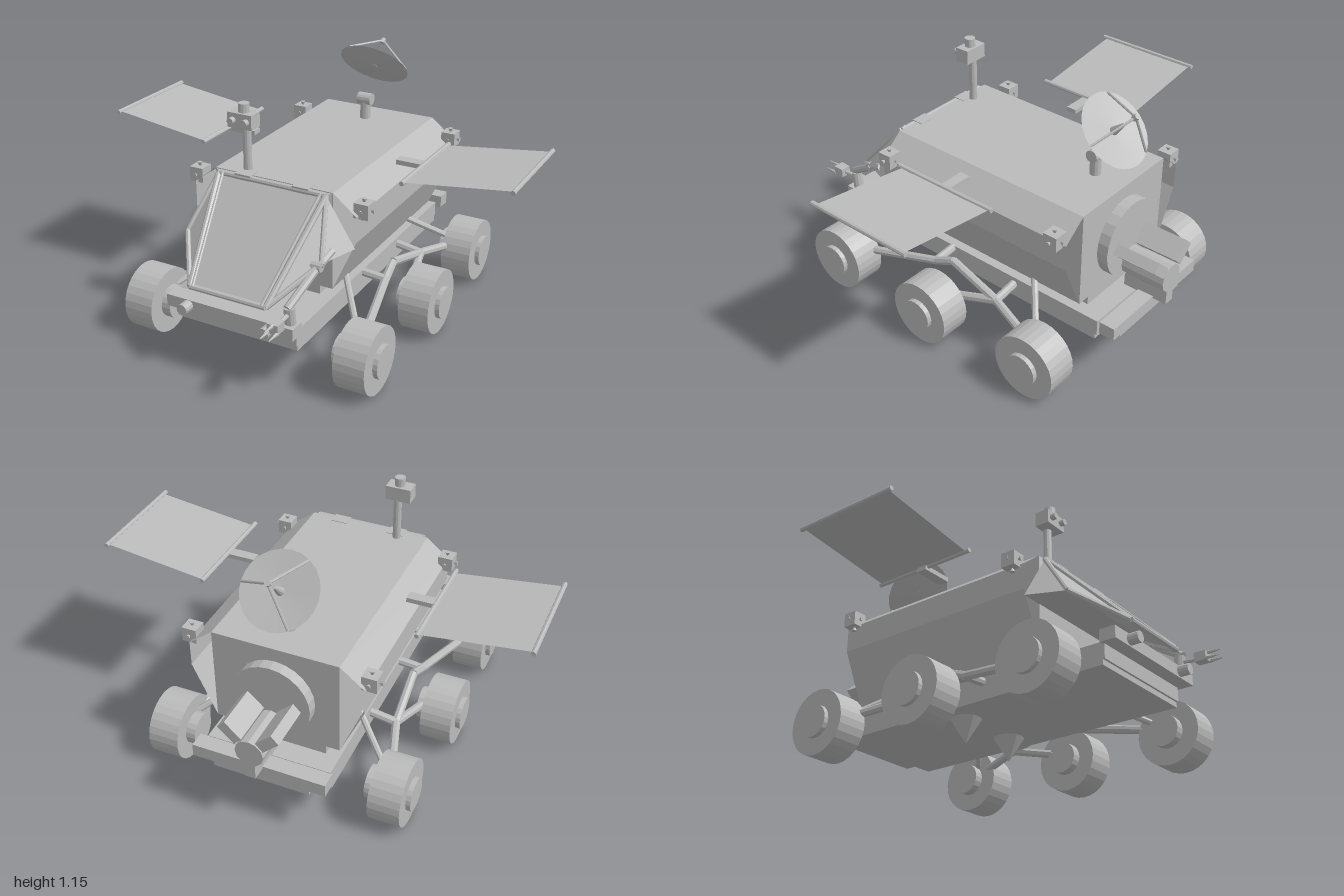
import * as THREE from 'three';

const grey = new THREE.MeshStandardMaterial({ color: 0xbbbbbb });
grey.name = 'hullGrey';
const sheetGrey = new THREE.MeshStandardMaterial({ color: 0xbbbbbb, side: THREE.DoubleSide });
sheetGrey.name = 'sheetGrey';
const V = (x, y, z) => new THREE.Vector3(x, y, z);

// Faceted normals for every part
function flat(geo) {
  const g = geo.index ? geo.toNonIndexed() : geo;
  g.computeVertexNormals();
  return g;
}

export function createModel() {
  const root = new THREE.Group();
  root.name = 'rover';

  const add = (name, geo, x = 0, y = 0, z = 0, mat = grey) => {
    const m = new THREE.Mesh(flat(geo), mat);
    m.name = name;
    m.position.set(x, y, z);
    root.add(m);
    return m;
  };
  // Box given by its limits on each axis
  const box = (name, x0, x1, y0, y1, z0, z1) =>
    add(name, new THREE.BoxGeometry(x1 - x0, y1 - y0, z1 - z0), (x0 + x1) / 2, (y0 + y1) / 2, (z0 + z1) / 2);
  // Round bar between two points; r1 is the radius at the far end
  const bar = (name, a, b, r, sides = 8, r1 = r) => {
    const d = b.clone().sub(a);
    const m = add(name, new THREE.CylinderGeometry(r1, r, d.length(), sides));
    m.position.copy(a).addScaledVector(d, 0.5);
    m.quaternion.setFromUnitVectors(V(0, 1, 0), d.normalize());
    return m;
  };
  // Thin sheet from polygons of points, fanned into triangles
  const sheet = (name, polys) => {
    const pts = [];
    for (const p of polys) for (let i = 1; i < p.length - 1; i++) pts.push(p[0], p[i], p[i + 1]);
    return add(name, new THREE.BufferGeometry().setFromPoints(pts), 0, 0, 0, sheetGrey);
  };

  // Pressure hull: central box with an open-ended angular shell on each side
  box('hull', -0.29, 0.29, 0.33, 0.782, -0.663, 0.377);
  const shell = [[0.29, 0.782], [0.4, 0.695], [0.4, 0.575], [0.29, 0.33]];
  for (const s of [-1, 1]) {
    const strips = shell.slice(1).map(([x, y], i) => {
      const [px, py] = shell[i];
      return [V(s * px, py, -0.663), V(s * x, y, -0.663), V(s * x, y, 0.377), V(s * px, py, 0.377)];
    });
    // Wind the right side the other way so both face outwards
    sheet('hullSideShell', s > 0 ? strips.map(q => q.reverse()) : strips);
  }

  // Sloping cab with windscreen, side windows and floor
  const cab = s => ({
    t: V(s * 0.265, 0.77, 0.39), h: V(s * 0.29, 0.78, 0.375), k: V(s * 0.29, 0.695, 0.375),
    w: V(s * 0.395, 0.547, 0.375), m: V(s * 0.33, 0.54, 0.55), b: V(s * 0.185, 0.4, 0.755),
  });
  const L = cab(1), R = cab(-1);
  sheet('windscreen', [[L.t, R.t, R.b, L.b]]);
  sheet('cabFloor', [[L.m, R.m, R.b, L.b], [L.w, R.w, R.m, L.m]]);
  sheet('cabRoofEdge', [[L.h, R.h, R.t, L.t]]);
  bar('windscreenTopBar', L.t, R.t, 0.013);
  bar('windscreenBottomBar', L.b, R.b, 0.013);
  for (const c of [L, R]) {
    sheet('cabSide', [[c.t, c.h, c.k], [c.t, c.k, c.w, c.m], [c.t, c.m, c.b]]);
    bar('windscreenSideBar', c.t, c.b, 0.014);
    bar('windowUpperBar', c.t, c.m, 0.012);
    bar('windowLowerBar', c.m, c.b, 0.013);
    const inset = p => V(p.x * 0.91, p.y + 0.006, p.z + 0.006);
    bar('windscreenInnerBar', inset(c.t), inset(c.b), 0.007);
  }
  for (const x of [-0.14, 0.145]) box('windscreenHinge', x - 0.04, x + 0.04, 0.74, 0.785, 0.34, 0.4);

  // Chassis and bumpers
  box('chassis', -0.29, 0.29, 0.21, 0.285, -0.76, 0.69);
  box('bellyPlate', -0.29, 0.29, 0.185, 0.21, -0.75, 0.68);
  box('chassisDeck', -0.225, 0.225, 0.285, 0.33, -0.66, 0.37);
  box('frontBumper', -0.31, 0.31, 0.275, 0.33, 0.68, 0.755);
  box('rearBumper', -0.31, 0.31, 0.25, 0.31, -0.86, -0.785);
  box('rearStep', -0.225, 0.225, 0.2, 0.25, -0.835, -0.76);
  for (const s of [-1, 1]) {
    bar('headlight', V(s * 0.2, 0.305, 0.75), V(s * 0.2, 0.305, 0.805), 0.025, 12);
    add('bellyCone', new THREE.ConeGeometry(0.072, 0.115, 16).rotateX(Math.PI), s * 0.155, 0.13, -0.13);
  }

  // Rear hatch and power unit with three radial fins
  bar('rearHatch', V(0, 0.54, -0.655), V(0, 0.54, -0.715), 0.18, 24);
  bar('powerCore', V(0, 0.43, -0.71), V(0, 0.43, -0.925), 0.065, 12);
  box('powerUnitFin', -0.025, 0.025, 0.3, 0.4, -0.925, -0.71);
  for (const s of [-1, 1]) {
    const fin = box('powerUnitFin', s * 0.085 - 0.05, s * 0.085 + 0.05, 0.49, 0.54, -0.925, -0.71);
    fin.rotation.z = s * 0.75;
  }

  for (const s of [-1, 1]) {
    // Wheels: the middle pair sits further out
    for (const [z, out] of [[0.537, 0], [-0.037, 0.03], [-0.61, 0]]) {
      bar('wheel', V(s * (0.455 + out), 0.152, z), V(s * (0.6 + out), 0.152, z), 0.152, 28);
      bar('wheelHub', V(s * (0.41 + out), 0.152, z), V(s * (0.622 + out), 0.152, z), 0.075, 20);
    }
    // Rocker suspension
    const P = (x, y, z) => V(s * x, y, z);
    const front = P(0.5, 0.18, 0.52), knee = P(0.4, 0.26, 0.07), pivot = P(0.39, 0.3, -0.03);
    const bogie = P(0.41, 0.23, -0.3), mid = P(0.47, 0.17, -0.037), rear = P(0.5, 0.18, -0.6);
    const links = [[front, knee], [knee, pivot], [pivot, bogie], [bogie, mid], [bogie, rear],
      [knee, P(0.28, 0.27, 0.07)], [bogie, P(0.28, 0.25, -0.3)]];
    for (const [a, b] of links) bar('suspensionArm', a, b, 0.02);
    bar('suspensionStrut', front, P(0.28, 0.34, 0.235), 0.015);
    bar('suspensionStrut', rear, P(0.28, 0.34, -0.41), 0.015);

    // Solar wing, tilted up towards the tip
    sheet('solarPanel', [[P(0.5, 0.785, -0.345), P(0.99, 0.848, -0.345), P(0.99, 0.848, 0.145), P(0.5, 0.785, 0.145)]]);
    bar('solarRod', P(0.503, 0.787, -0.36), P(0.503, 0.787, 0.165), 0.011);
    bar('solarRod', P(0.989, 0.848, -0.36), P(0.989, 0.848, 0.165), 0.011);
    const arm = box('solarBracket', -0.075, 0.075, 0.765, 0.787, -0.12, -0.07);
    arm.position.x = s * 0.445;

    // Thruster blocks with small nozzles
    for (const z of [0.325, -0.612]) {
      const c = P(0.41, 0.715, z);
      box('thrusterBlock', c.x - 0.034, c.x + 0.034, 0.681, 0.749, z - 0.034, z + 0.034);
      for (const d of [V(s, 0, 0), V(0, 0, 1), V(0, 0, -1), V(0, -1, 0), V(0, 1, 0)])
        bar('thrusterNozzle', c.clone().addScaledVector(d, 0.03), c.clone().addScaledVector(d, 0.05), 0.004, 8, 0.012);
    }
  }

  // Camera mast
  bar('cameraMast', V(-0.155, 0.77, 0.328), V(-0.155, 0.99, 0.328), 0.019, 12);
  box('cameraHead', -0.22, -0.1, 0.985, 1.053, 0.31, 0.38);
  bar('cameraCap', V(-0.157, 1.05, 0.345), V(-0.157, 1.093, 0.345), 0.025, 12);
  for (const x of [-0.192, -0.125]) bar('cameraLens', V(x, 1.02, 0.375), V(x, 1.02, 0.405), 0.015, 12);

  // Dish pedestal
  bar('dishPost', V(0, 0.77, -0.507), V(0, 0.88, -0.507), 0.025, 12);
  bar('dishPivot', V(-0.035, 0.88, -0.507), V(0.035, 0.88, -0.507), 0.029, 14);

  // Shallow dish antenna facing up and back, with a three-legged feed
  const tilt = -Math.PI / 4;
  const center = V(0, 1.03, -0.595);
  const onDish = (x, y, z) => V(x, y, z).applyAxisAngle(V(1, 0, 0), tilt).add(center);
  const profile = [[0, -0.012], [0.172, 0]].map(([x, y]) => new THREE.Vector2(x, y));
  const dish = add('dish', new THREE.LatheGeometry(profile, 24), 0, 0, 0, sheetGrey);
  dish.position.copy(center);
  dish.rotation.x = tilt;
  const apex = onDish(0, 0.135, 0);
  for (let i = 0; i < 3; i++) {
    const a = i * Math.PI * 2 / 3;
    bar('feedStrut', onDish(0.168 * Math.cos(a), 0, 0.168 * Math.sin(a)), apex, 0.006, 6);
  }
  bar('feedHorn', onDish(0, -0.012, 0), onDish(0, 0.06, 0), 0.02, 10, 0.007);
  bar('feedTip', onDish(0, 0.12, 0), onDish(0, 0.145, 0), 0.013, 8);

  // Manipulator arm and gripper on the left of the cab
  const joints = [V(0.335, 0.57, 0.47), V(0.315, 0.525, 0.56), V(0.275, 0.41, 0.735)];
  bar('armUpper', joints[0], joints[1], 0.02);
  bar('armLower', joints[1], joints[2], 0.018);
  bar('armElbow', V(0.29, 0.53, 0.555), V(0.335, 0.53, 0.555), 0.024, 10);
  bar('armWrist', V(0.275, 0.41, 0.72), V(0.275, 0.32, 0.71), 0.025, 10);
  bar('gripperLink', V(0.275, 0.38, 0.72), V(0.275, 0.375, 0.805), 0.01);
  box('gripperPalm', 0.25, 0.3, 0.355, 0.397, 0.8, 0.855);
  for (const [x, y] of [[0.255, 0.36], [0.295, 0.36], [0.275, 0.392]])
    bar('gripperFinger', V(x, y, 0.85), V(x, y, 0.915), 0.009, 6, 0.002);

  return root;
}
